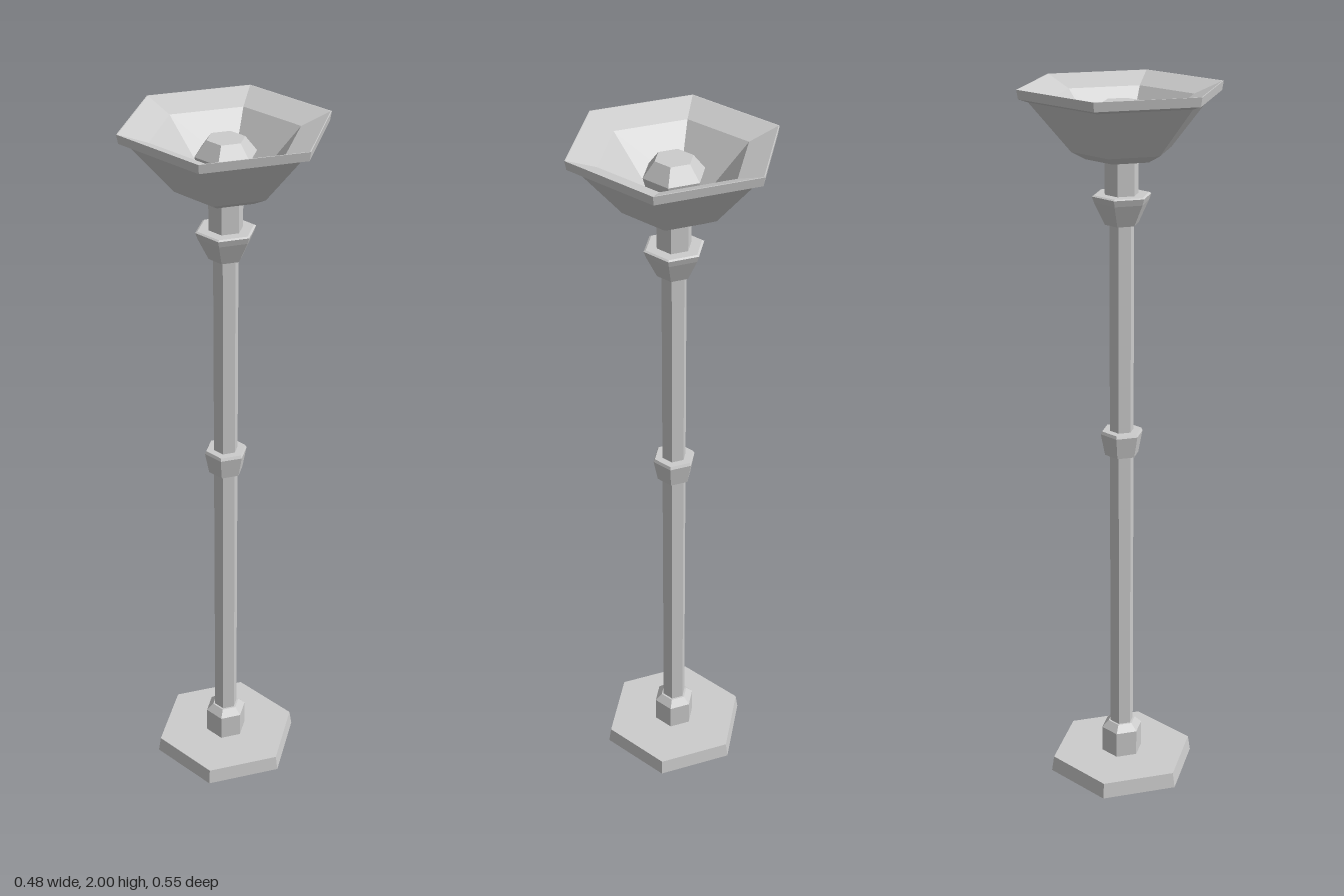
import * as THREE from 'three';

const SIDES = 6;

export function createModel() {
  const lamp = new THREE.Group();
  lamp.name = 'floorLamp';
  const material = new THREE.MeshStandardMaterial({ color: 0xcccccc, flatShading: true });

  // Six-sided turned part; the profile is [radius, y] from the bottom up, corners facing +z and -z.
  function turned(name, profile) {
    const points = profile.map(([r, y]) => new THREE.Vector2(r, y));
    const mesh = new THREE.Mesh(new THREE.LatheGeometry(points, SIDES), material);
    mesh.name = name;
    lamp.add(mesh);
  }

  // Foot plate and the socket holding the pole
  turned('base', [[0, 0], [0.215, 0], [0.208, 0.045], [0, 0.045]]);
  turned('baseSocket', [[0.06, 0.045], [0.06, 0.122], [0.04, 0.142], [0, 0.142]]);

  // Pole with its decorative rings
  turned('pole', [[0.034, 0.13], [0.034, 1.66]]);
  turned('middleRing', [[0, 0.99], [0.048, 0.99], [0.06, 1.052], [0.056, 1.06], [0, 1.06]]);
  turned('upperCollar', [[0, 1.64], [0.046, 1.64], [0.075, 1.7], [0.081, 1.717], [0.075, 1.72], [0, 1.72]]);
  turned('neck', [[0.046, 1.71], [0.046, 1.83]]);

  // Open bowl shade: outside up to the rim, then back down the inside
  turned('shade', [
    [0, 1.815], [0.096, 1.815], [0.135, 1.836], [0.245, 1.967], [0.271, 1.976],
    [0.275, 2], [0.272, 2], [0.195, 1.97], [0.085, 1.85], [0, 1.85],
  ]);

  // Bulb
  turned('bulb', [[0.06, 1.845], [0.081, 1.92], [0.05, 1.96], [0, 1.96]]);

  return lamp;
}
